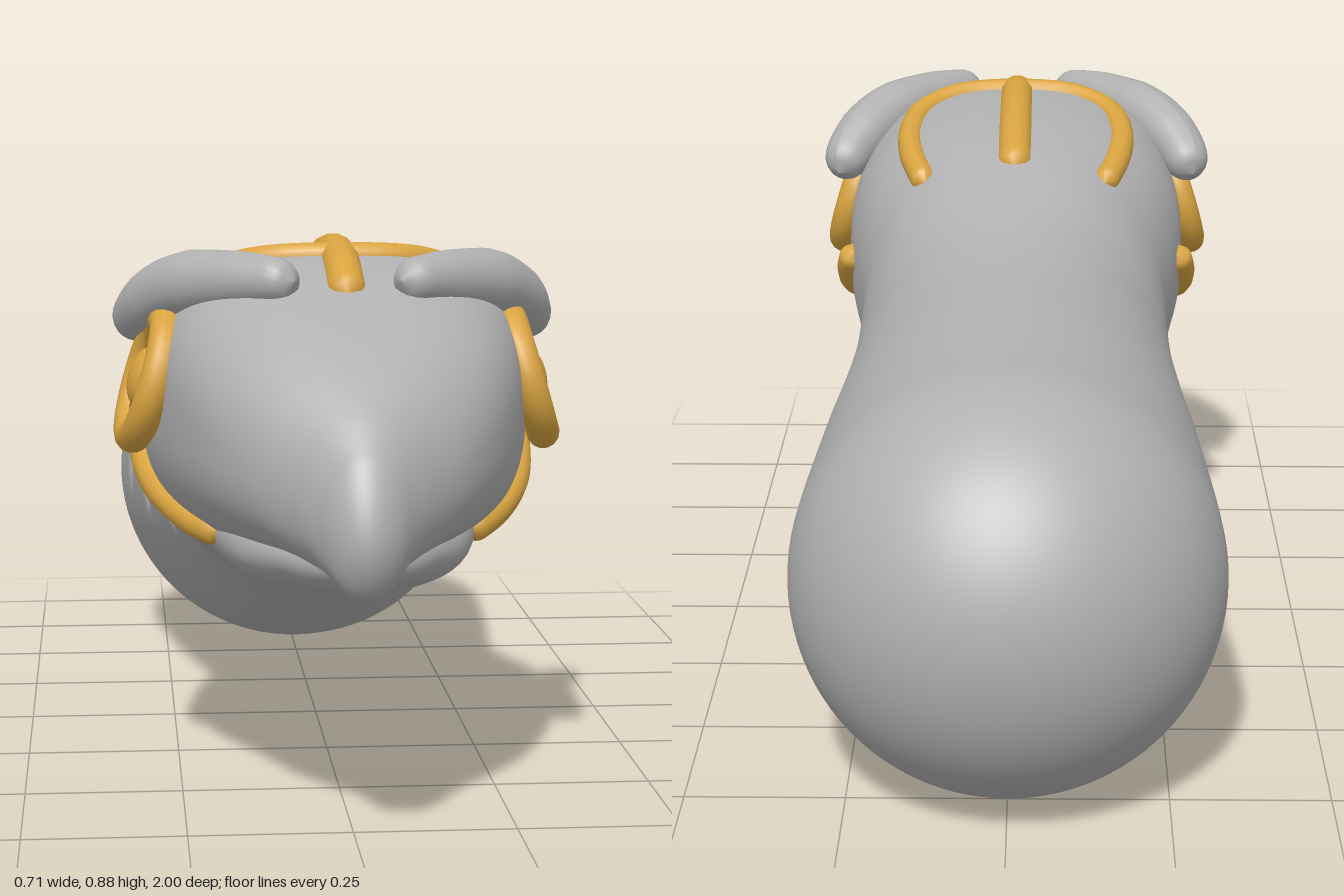
import * as THREE from 'three';

// Cross-sections: z, top y, bottom y, half width, squareness
const BODY = [
  [-1.0, 0.68, 0.0, 0.337, 2], [-0.66, 0.68, 0.003, 0.337, 2], [-0.4, 0.697, 0.055, 0.316, 2],
  [-0.2, 0.715, 0.105, 0.292, 2], [-0.05, 0.75, 0.16, 0.275, 2], [0.1, 0.81, 0.235, 0.27, 2.2],
  [0.2, 0.835, 0.28, 0.288, 2.4], [0.3, 0.85, 0.315, 0.304, 2.5], [0.45, 0.857, 0.36, 0.3, 2.6],
  [0.55, 0.84, 0.39, 0.283, 2.7], [0.65, 0.803, 0.41, 0.255, 2.7], [0.75, 0.758, 0.42, 0.215, 2.5],
  [0.83, 0.712, 0.422, 0.165, 2.2], [0.9, 0.66, 0.412, 0.102, 2], [0.95, 0.61, 0.398, 0.064, 2],
  [1.0, 0.56, 0.41, 0.045, 2],
];
const JAW = [
  [0.05, 0.55, 0.24, 0.18, 2], [0.2, 0.53, 0.284, 0.2, 2], [0.35, 0.52, 0.323, 0.22, 2.1],
  [0.5, 0.52, 0.344, 0.215, 2.2], [0.7, 0.5, 0.36, 0.175, 2.2], [0.82, 0.49, 0.382, 0.115, 2],
  [0.9, 0.47, 0.405, 0.06, 2],
];
const GILLS = [[-0.05, 0.395], [-0.25, 0.395], [-0.45, 0.41]];

// Smooth interpolation between cross-sections, with rounded ends
function section(list, z, backCap, frontCap) {
  const n = list.length;
  let i = 0;
  while (i < n - 2 && z > list[i + 1][0]) i++;
  const [a, b] = [list[i], list[i + 1]];
  const h = b[0] - a[0], t = (z - a[0]) / h;
  const slope = (j, k) => {
    const p = list[Math.max(j - 1, 0)], q = list[Math.min(j + 1, n - 1)];
    return (q[k] - p[k]) / (q[0] - p[0]);
  };
  const [top, bottom, width, power] = [1, 2, 3, 4].map((k) =>
    a[k] * (1 + 2 * t) * (1 - t) ** 2 + b[k] * t * t * (3 - 2 * t) +
    h * slope(i, k) * t * (1 - t) ** 2 - h * slope(i + 1, k) * t * t * (1 - t));
  const back = Math.max(0, (list[0][0] + backCap - z) / backCap);
  const front = Math.max(0, (z - list[n - 1][0] + frontCap) / frontCap);
  const f = Math.sqrt(Math.max(0, 1 - Math.max(back, front) ** 2));
  return { y: (top + bottom) / 2, h: ((top - bottom) / 2) * f, w: width * f, p: power };
}

function loft(list, rings, sides, backCap, frontCap, grooves = []) {
  const pos = [], index = [];
  const z0 = list[0][0], z1 = list[list.length - 1][0];
  for (let i = 0; i <= rings; i++) {
    const z = z0 + (z1 - z0) * (0.5 - 0.5 * Math.cos((Math.PI * i) / rings));
    const s = section(list, z, backCap, frontCap);
    for (let j = 0; j < sides; j++) {
      const a = (j / sides) * Math.PI * 2, c = Math.cos(a), d = Math.sin(a);
      let x = s.w * Math.sign(c) * Math.abs(c) ** (2 / s.p);
      const y = s.y + s.h * Math.sign(d) * Math.abs(d) ** (2 / s.p);
      // Press the gill slits into the flanks
      for (const [gz, gy] of grooves) {
        x -= Math.sign(x) * 0.03 * Math.exp(-(((z - gz) / 0.015) ** 2) - ((y - gy) / 0.05) ** 4);
      }
      pos.push(x, y, z);
      if (i < rings) {
        const k = (j + 1) % sides, p = i * sides, q = p + sides;
        index.push(p + j, p + k, q + k, p + j, q + k, q + j);
      }
    }
  }
  const g = new THREE.BufferGeometry();
  g.setAttribute('position', new THREE.Float32BufferAttribute(pos, 3));
  g.setIndex(index);
  g.computeVertexNormals();
  return g;
}

// Points lying on the head surface
const bodyAt = (z) => section(BODY, z, 0.34, 0.05);
const rest = (v, p) => Math.max(0, 1 - Math.min(1, Math.abs(v)) ** p) ** (1 / p);
function onSide(side, y, z, lift = 0) {
  const s = bodyAt(z);
  return new THREE.Vector3(side * (s.w * rest((y - s.y) / s.h, s.p) + lift), y, z);
}
function onTop(x, z, lift = 0) {
  const s = bodyAt(z);
  return new THREE.Vector3(x, s.y + s.h * rest(x / s.w, s.p) + lift, z);
}

// Round sweep whose thickness follows a list of radii, closed by rounded ends
function sweep(points, radii, seg = 48, sides = 14) {
  const curve = new THREE.CatmullRomCurve3(points);
  const g = new THREE.TubeGeometry(curve, seg, 1, sides);
  const pos = g.attributes.position, v = new THREE.Vector3(), len = curve.getLength();
  for (let i = 0; i <= seg; i++) {
    const t = i / seg, c = curve.getPointAt(t);
    const u = t * (radii.length - 1), k = Math.min(Math.floor(u), radii.length - 2);
    let r = radii.length > 1 ? THREE.MathUtils.lerp(radii[k], radii[k + 1], u - k) : radii[0];
    const e = Math.min(1, (Math.min(t, 1 - t) * len) / r);
    r *= Math.sqrt(1 - (1 - e) ** 2);
    for (let j = 0; j <= sides; j++) {
      const n = i * (sides + 1) + j;
      v.fromBufferAttribute(pos, n).sub(c).multiplyScalar(r).add(c);
      pos.setXYZ(n, v.x, v.y, v.z);
    }
  }
  g.computeVertexNormals();
  return g;
}

export function createModel() {
  const mat = (name, color) => {
    const m = new THREE.MeshStandardMaterial({ color });
    m.name = name;
    return m;
  };
  const grey = mat('grey', 0xb0b0b0);
  const gold = mat('gold', 0xd9a441);
  const darkGold = mat('dark gold', 0x9a6a2a);

  const model = new THREE.Group();
  model.name = 'beakedCreature';
  const add = (name, geometry, material, parent = model) => {
    const m = new THREE.Mesh(geometry, material);
    m.name = name;
    parent.add(m);
    return m;
  };

  add('body', loft(BODY, 240, 96, 0.34, 0.05, GILLS), grey);
  add('lowerJaw', loft(JAW, 48, 48, 0.1, 0.06), grey);

  // Crown bands on top of the head
  const ridge = [0.08, 0.2, 0.32, 0.44, 0.54, 0.64].map((z) => onTop(0, z, -0.008));
  add('crownRidge', sweep(ridge, [0.03, 0.03]), gold);
  const half = [[0.155, 0.1], [0.182, 0.2], [0.19, 0.3], [0.17, 0.4], [0.11, 0.455]];
  const loop = [
    ...half.map(([x, z]) => onTop(-x, z, -0.006)),
    onTop(0, 0.475, -0.006),
    ...half.slice().reverse().map(([x, z]) => onTop(x, z, -0.006)),
  ];
  add('crownLoop', sweep(loop, [0.023, 0.023], 80), gold);

  for (const side of [1, -1]) {
    const label = side > 0 ? 'left' : 'right';

    // Heavy brow
    const brow = [[0.08, 0.825, 0.64], [0.165, 0.82, 0.56], [0.25, 0.802, 0.465], [0.3, 0.765, 0.39], [0.325, 0.725, 0.33]];
    add(label + 'Brow', sweep(brow.map(([x, y, z]) => new THREE.Vector3(side * x, y, z)),
      [0.032, 0.045, 0.053, 0.05, 0.036], 48, 20), grey);

    // Band along the cheek
    const cheek = [[0.435, 0.6], [0.45, 0.53], [0.48, 0.44], [0.515, 0.35], [0.56, 0.28], [0.605, 0.23]];
    add(label + 'CheekBand', sweep(cheek.map(([y, z]) => onSide(side, y, z, 0.002)), [0.024, 0.024]), gold);

    // Eye with a raised ring
    const eye = new THREE.Group();
    eye.name = label + 'Eye';
    eye.position.copy(onSide(side, 0.66, 0.465, 0.002));
    eye.quaternion.setFromUnitVectors(new THREE.Vector3(0, 0, 1), new THREE.Vector3(side, 0.3, 0.1).normalize());
    model.add(eye);
    add('eyeRing', new THREE.TorusGeometry(0.095, 0.026, 14, 40), gold, eye);
    const socket = add('eyeSocket', new THREE.SphereGeometry(0.092, 32, 16), darkGold, eye);
    socket.scale.z = 0.16;
    const ball = add('eyeball', new THREE.SphereGeometry(0.052, 24, 16), gold, eye);
    ball.scale.z = 0.6;
  }
  return model;
}
